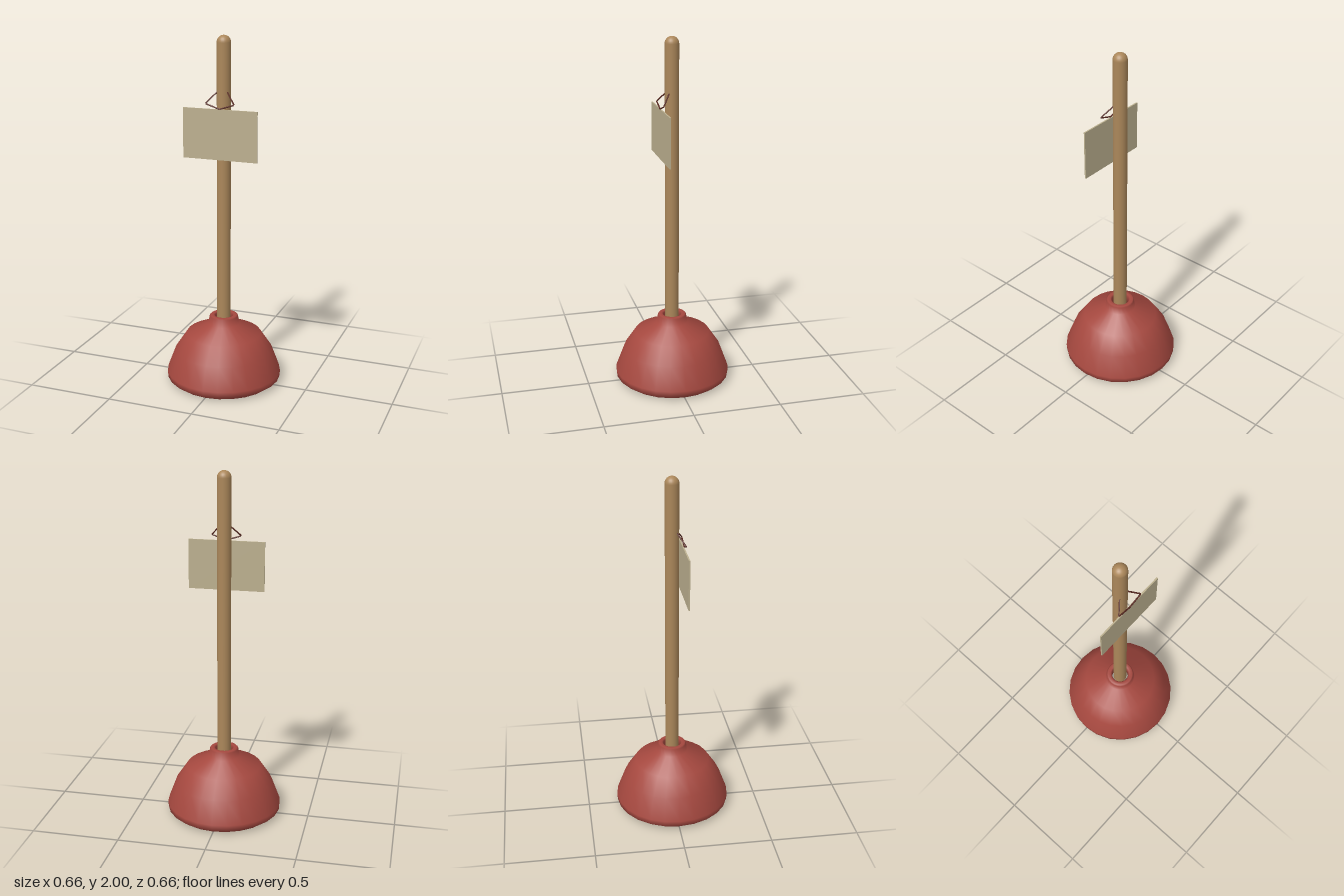
import * as THREE from 'three';

const paint = (color) => new THREE.MeshStandardMaterial({ color });

function addMesh(group, name, geometry, material) {
  const mesh = new THREE.Mesh(geometry, material);
  mesh.name = name;
  group.add(mesh);
  return mesh;
}

export function createModel() {
  const model = new THREE.Group();
  model.name = 'plunger';
  const rubber = paint(0xa5483f);
  const wood = paint(0xab875a);
  const card = paint(0xbcb08f);
  const twine = paint(0x5a2a22);
  rubber.side = THREE.DoubleSide;

  // Hollow rubber cup: outer wall upward, over the collar, inner wall back down
  const profile = [
    [0.28, 0.005], [0.295, 0.005], [0.328, 0.03], [0.33, 0.062], [0.282, 0.19],
    [0.215, 0.29], [0.09, 0.35], [0.082, 0.393], [0.075, 0.4], [0.058, 0.4], [0.05, 0.393],
    [0.05, 0.335], [0.195, 0.27], [0.258, 0.18], [0.3, 0.062], [0.28, 0.005],
  ].map(([r, y]) => new THREE.Vector2(r, y));
  addMesh(model, 'cup', new THREE.LatheGeometry(profile, 24), rubber);

  // Round handle with domed ends
  const radius = 0.039, bottom = 0.32, top = 2;
  const handle = new THREE.CapsuleGeometry(radius, top - bottom - 2 * radius, 8, 24);
  addMesh(model, 'handle', handle, wood).position.y = (top + bottom) / 2;

  // Thin hanging tag
  addMesh(model, 'tag', new THREE.BoxGeometry(0.43, 0.28, 0.008), card).position.set(0, 1.467, 0.062);

  // String: on each side from the handle out to a corner, then in to the tag
  for (const side of [1, -1]) {
    const path = new THREE.CurvePath();
    const points = [[0.028, 1.697, 0.022], [0.083, 1.636, 0.066], [0, 1.609, 0.066]]
      .map(([x, y, z]) => new THREE.Vector3(x * side, y, z));
    path.add(new THREE.LineCurve3(points[0], points[1]));
    path.add(new THREE.LineCurve3(points[1], points[2]));
    addMesh(model, side > 0 ? 'leftString' : 'rightString',
      new THREE.TubeGeometry(path, 24, 0.004, 6), twine);
  }

  return model;
}
